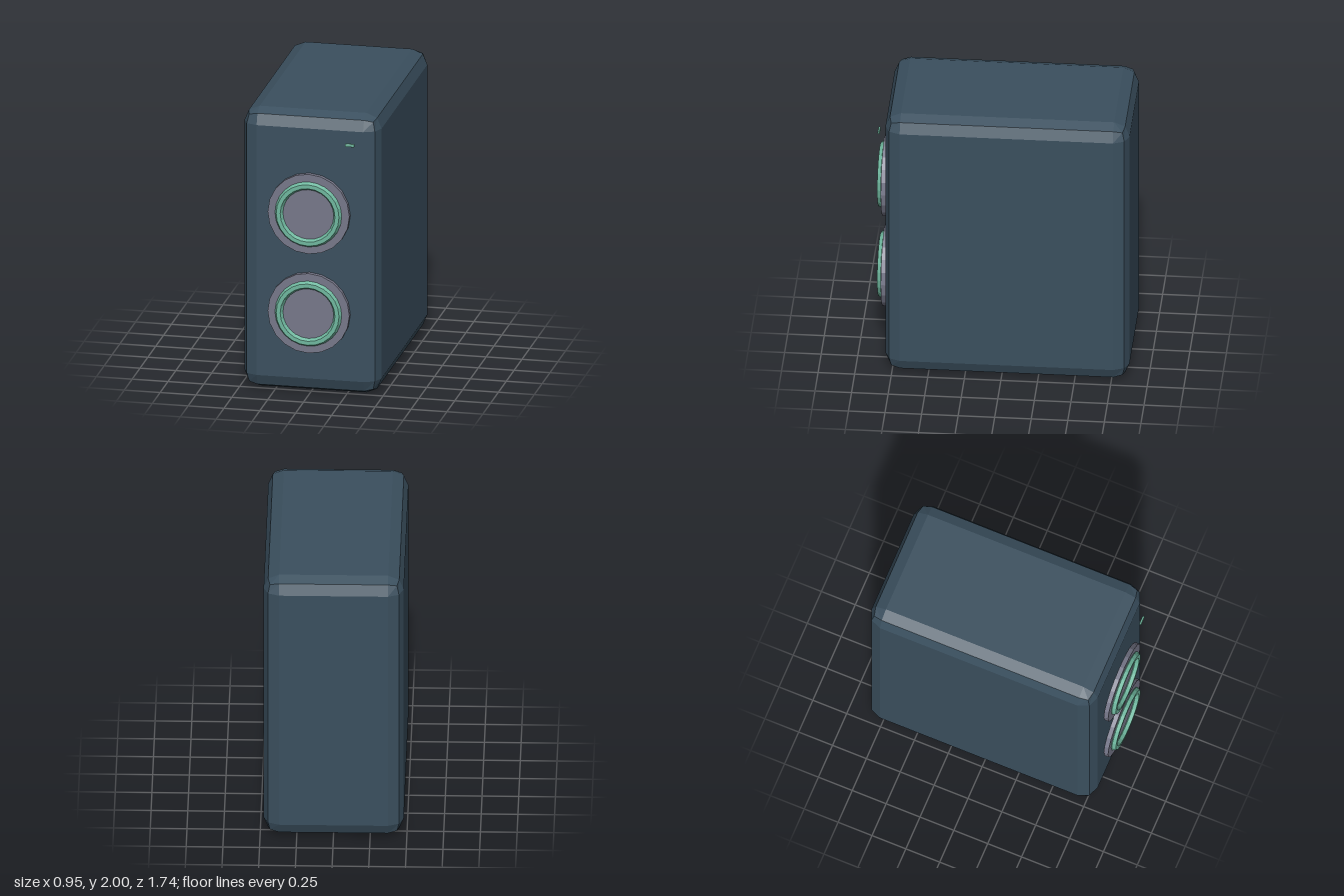
import * as THREE from 'three';
import { RoundedBoxGeometry } from 'three/addons/geometries/RoundedBoxGeometry.js';

const material = (color) => new THREE.MeshStandardMaterial({ color, flatShading: true });

export function createModel() {
  const model = new THREE.Group();
  model.name = 'speaker';
  const shell = material(0x3a4f5e);
  const grey = material(0x77788a);
  const green = material(0x6fb89f);

  const add = (parent, name, geometry, mat, x, y, z) => {
    const mesh = new THREE.Mesh(geometry, mat);
    mesh.name = name;
    mesh.position.set(x, y, z);
    parent.add(mesh);
    return mesh;
  };

  // Cabinet with two-step bevelled edges
  add(model, 'cabinet', new RoundedBoxGeometry(0.955, 2, 1.67, 1, 0.106), shell, 0, 1, -0.035);

  // Two identical drivers: a disc with a raised ring
  const discGeometry = new THREE.CylinderGeometry(0.285, 0.285, 0.032, 20).rotateX(Math.PI / 2);
  const ringGeometry = new THREE.TorusGeometry(0.205, 0.028, 6, 24);
  [['upperDriver', 1.295], ['lowerDriver', 0.585]].forEach(([name, y]) => {
    const driver = new THREE.Group();
    driver.name = name;
    driver.position.y = y;
    add(driver, 'driverDisc', discGeometry, grey, 0, 0, 0.824);
    add(driver, 'driverRing', ringGeometry, green, 0, 0, 0.846);
    model.add(driver);
  });

  // Small indicator light
  add(model, 'indicatorLight', new RoundedBoxGeometry(0.066, 0.024, 0.015, 1, 0.006), green, 0.29, 1.81, 0.85);

  return model;
}
